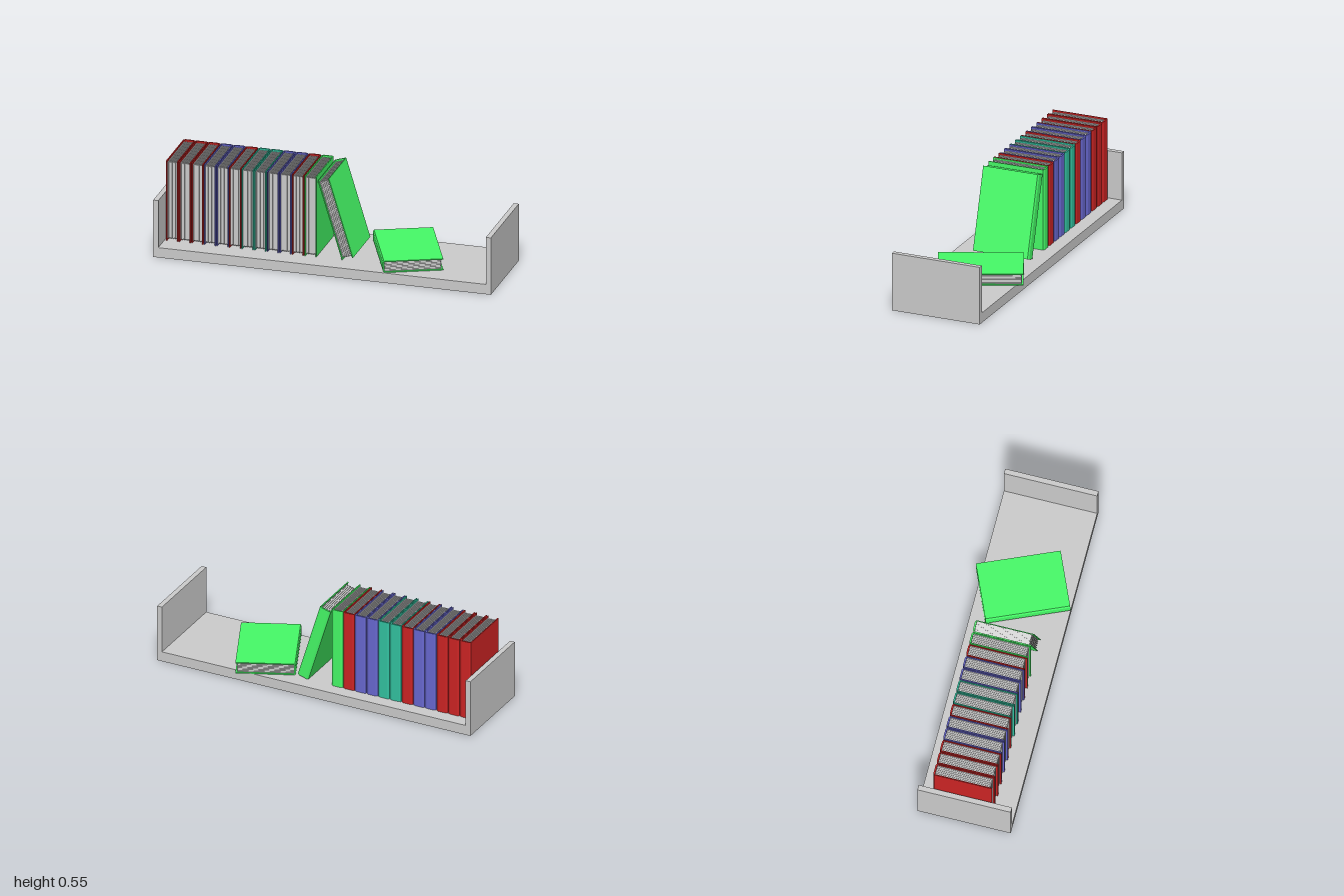
import * as THREE from 'three';

const T = 0.07, H = 0.487;           // book thickness and height
const SPINE = -0.177, FORE = 0.167;  // book extent in z, spine at the back
const BOARD = 0.006;                 // cover board thickness

const material = (color) => new THREE.MeshStandardMaterial({ color, flatShading: true });
const grey = material(0xcccccc);
const covers = {
  red: material(0xcc2424),
  blue: material(0x6868d0),
  teal: material(0x32c2a0),
  green: material(0x46fa67),
};

function box(name, parent, mat, x0, x1, y0, y1, z0, z1) {
  const mesh = new THREE.Mesh(new THREE.BoxGeometry(x1 - x0, y1 - y0, z1 - z0), mat);
  mesh.position.set((x0 + x1) / 2, (y0 + y1) / 2, (z0 + z1) / 2);
  mesh.name = name;
  parent.add(mesh);
}

// U-shaped cover section with a slightly bowed spine, extruded over the height
function coverGeometry() {
  const outline = [
    [0, FORE], [0, SPINE + 0.006], [0.012, SPINE], [T - 0.012, SPINE], [T, SPINE + 0.006], [T, FORE],
    [T - BOARD, FORE], [T - BOARD, SPINE + 0.01], [BOARD, SPINE + 0.01], [BOARD, FORE],
  ];
  const shape = new THREE.Shape(outline.map(([x, z]) => new THREE.Vector2(x, -z)));
  const geometry = new THREE.ExtrudeGeometry(shape, { depth: H, bevelEnabled: false });
  return geometry.rotateX(-Math.PI / 2);
}

function makeBook(name, mat, geometry) {
  const book = new THREE.Group();
  book.name = name;
  const cover = new THREE.Mesh(geometry, mat);
  cover.name = 'cover';
  book.add(cover);

  // Page block of thin bundles whose edges are alternately set back
  const pages = new THREE.Group();
  pages.name = 'pages';
  const bundles = 11, step = (T - 2 * BOARD) / bundles;
  for (let i = 0; i < bundles; i++) {
    const inset = i % 2 ? 0.014 : 0.01;
    const x = BOARD + i * step;
    box('pageBundle', pages, grey, x, x + step, inset, H - inset, SPINE + 0.01, FORE - inset);
  }
  book.add(pages);
  return book;
}

export function createModel() {
  const model = new THREE.Group();
  model.name = 'bookShelf';

  // Shelf board with two upright ends
  const shelf = new THREE.Group();
  shelf.name = 'shelf';
  const back = -0.258, front = 0.288;
  box('shelfBoard', shelf, grey, -1, 1, 0, 0.06, back, front);
  box('rightEnd', shelf, grey, -1, -0.97, 0.06, 0.347, back, front);
  box('leftEnd', shelf, grey, 0.97, 1, 0.06, 0.347, back, front);
  model.add(shelf);

  // Row of upright books
  const cover = coverGeometry();
  const row = ['red', 'red', 'red', 'blue', 'blue', 'red', 'teal', 'teal', 'blue', 'blue', 'red', 'green'];
  row.forEach((color, i) => {
    const book = makeBook('uprightBook', covers[color], cover);
    book.position.set(-0.96 + i * 0.0745, 0.06, 0);
    model.add(book);
  });

  // Book leaning against the row
  const leaning = makeBook('leaningBook', covers.green, cover);
  leaning.position.set(0.08, 0.06, 0);
  leaning.rotation.z = 0.297;
  model.add(leaning);

  // Book lying flat, turned on the shelf
  const lying = makeBook('lyingBook', covers.green, cover);
  const a = 0.412, s = Math.sin(a), c = Math.cos(a);
  lying.quaternion.setFromRotationMatrix(new THREE.Matrix4().makeBasis(
    new THREE.Vector3(0, 1, 0), new THREE.Vector3(s, 0, c), new THREE.Vector3(c, 0, -s)));
  lying.position.set(0.328, 0.06, -0.23);
  model.add(lying);

  return model;
}
